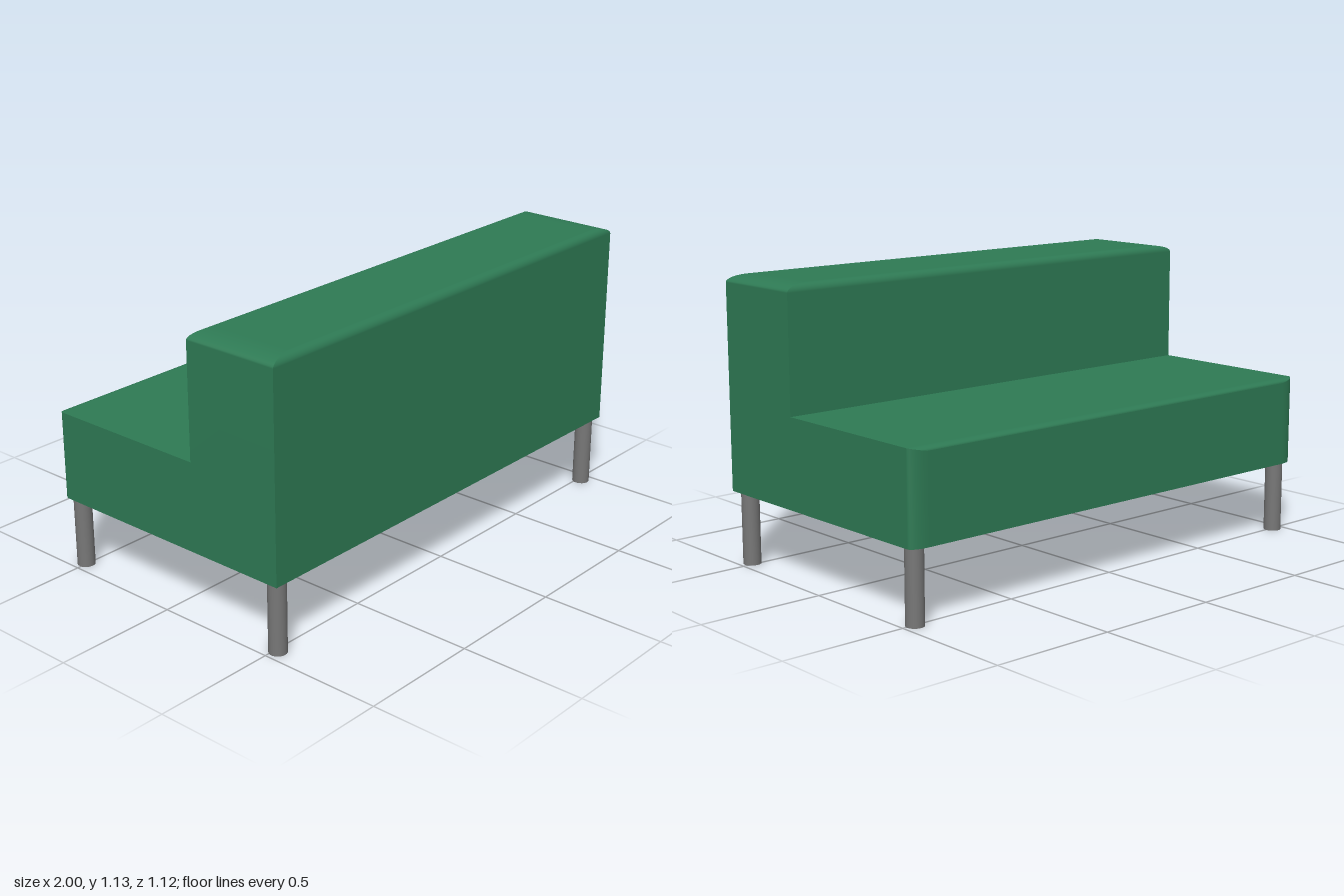
import * as THREE from 'three';

const fabric = new THREE.MeshStandardMaterial({ color: 0x2e7a54 });
const metal = new THREE.MeshStandardMaterial({ color: 0x777777 });

// Block standing on y = 0 whose upper end is eased inwards along an elliptical curve.
// ease = { x, zMin, zMax, y }: inset per side and the height of the easing.
function easedBlock(width, height, depth, ease) {
  const steps = 8;
  const geometry = new THREE.BoxGeometry(width, steps + 1, depth, 1, steps + 1, 1);
  geometry.translate(0, (steps + 1) / 2, 0);
  const p = geometry.attributes.position;
  for (let i = 0; i < p.count; i++) {
    const ring = Math.round(p.getY(i));
    if (ring === 0) continue;
    const a = ((ring - 1) / steps) * Math.PI / 2;
    const inset = 1 - Math.cos(a);
    const x = p.getX(i), z = p.getZ(i);
    p.setXYZ(
      i,
      x - Math.sign(x) * ease.x * inset,
      height - ease.y * (1 - Math.sin(a)),
      z > 0 ? z - ease.zMax * inset : z + ease.zMin * inset
    );
  }
  geometry.computeVertexNormals();
  return geometry;
}

function addMesh(group, name, geometry, material, x, y, z) {
  const mesh = new THREE.Mesh(geometry, material);
  mesh.name = name;
  mesh.position.set(x, y, z);
  group.add(mesh);
}

export function createModel() {
  const group = new THREE.Group();
  group.name = 'sofa';

  // Seat: its eased end points to -z, with a flat underside
  const seat = easedBlock(2, 1.12, 0.355, { x: 0.07, zMin: 0, zMax: 0.015, y: 0.03 });
  seat.rotateX(-Math.PI / 2);
  addMesh(group, 'seat', seat, fabric, 0, 0.4675, 0.56);

  // Backrest: eased along all four top edges
  const back = easedBlock(2, 0.487, 0.407, { x: 0.1, zMin: 0.03, zMax: 0.03, y: 0.03 });
  addMesh(group, 'backrest', back, fabric, 0, 0.645, 0.3565);

  // Legs
  const leg = new THREE.CylinderGeometry(0.035, 0.035, 0.29, 24);
  for (const [side, x] of [['left', 0.95], ['right', -0.95]]) {
    addMesh(group, side + 'BackrestLeg', leg, metal, x, 0.145, 0.515);
    addMesh(group, side + 'SeatLeg', leg, metal, x, 0.145, -0.505);
  }
  return group;
}
